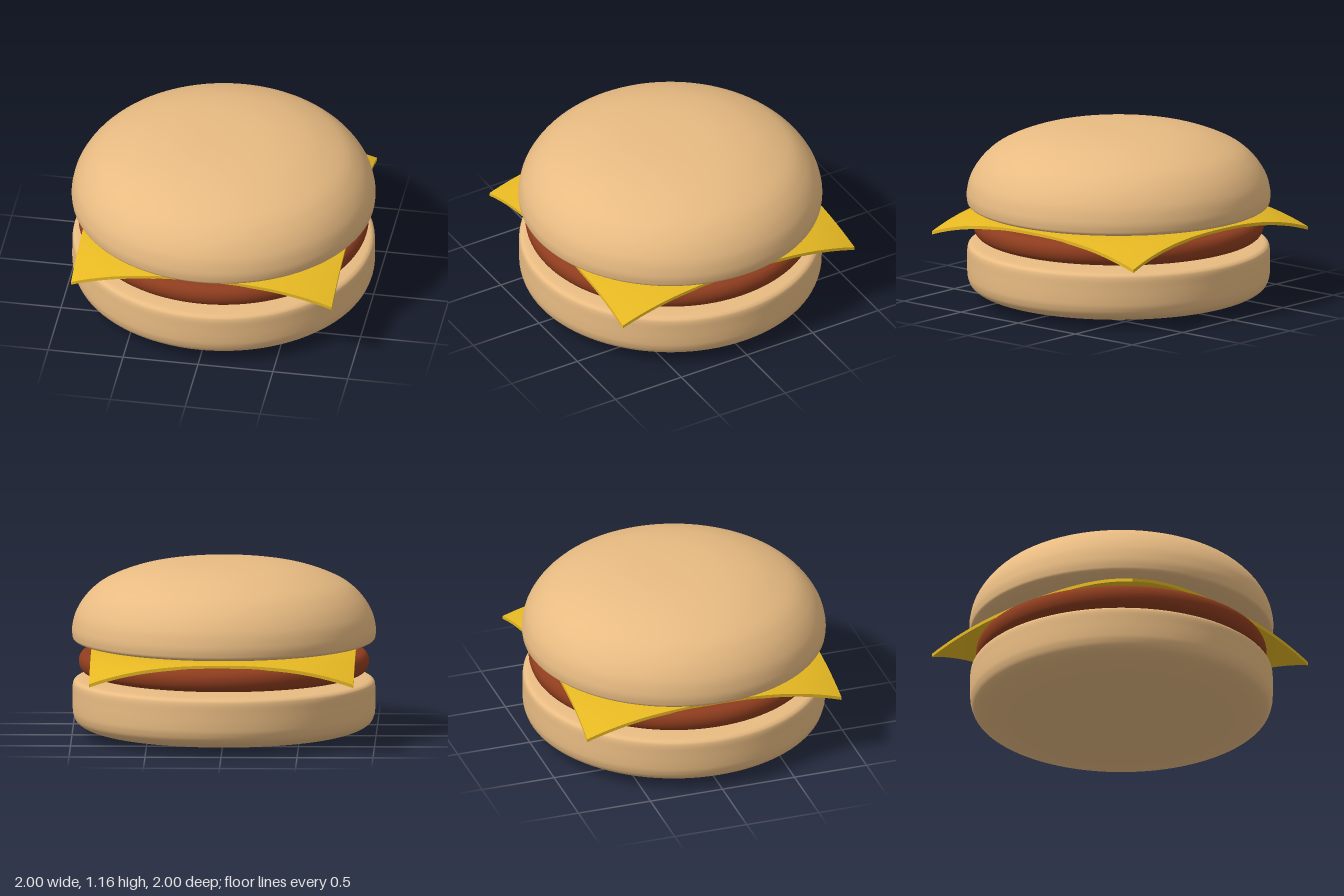
import * as THREE from 'three';

const bunColor = 0xe8bb82, pattyColor = 0x8f3d1e, cheeseColor = 0xe6b822;

// Smooth round part from a few [radius, height] points, bottom to top
function round(name, color, points) {
  const curve = new THREE.SplineCurve(points.map(([r, y]) => new THREE.Vector2(r, y)));
  const profile = curve.getPoints(points.length * 6);
  profile.forEach(p => { p.x = Math.max(p.x, 0); });
  const mesh = new THREE.Mesh(
    new THREE.LatheGeometry(profile, 96),
    new THREE.MeshStandardMaterial({ color })
  );
  mesh.name = name;
  return mesh;
}

// Square slice whose corners sag beyond the patty's rim
function cheeseSlice() {
  const geometry = new THREE.BoxGeometry(1.74, 0.022, 1.74, 40, 1, 40);
  const pos = geometry.attributes.position;
  for (let i = 0; i < pos.count; i++) {
    const x = pos.getX(i), z = pos.getZ(i);
    const over = Math.max(0, Math.hypot(x, z) - 0.78) / 0.45;
    pos.setY(i, pos.getY(i) + 0.588 - 0.13 * over ** 1.7);
    // The back edge flares out slightly towards its corners
    if (z < 0) pos.setZ(i, z - 0.025 * (z / 0.87) ** 2 * (x / 0.87) ** 2);
  }
  geometry.computeVertexNormals();
  const mesh = new THREE.Mesh(geometry, new THREE.MeshStandardMaterial({ color: cheeseColor }));
  mesh.name = 'cheeseSlice';
  return mesh;
}

export function createModel() {
  const group = new THREE.Group();
  group.name = 'burger';
  group.add(
    round('bottomBun', bunColor, [
      [0, 0], [0.3, 0.003], [0.6, 0.018], [0.8, 0.036], [0.9, 0.058], [0.965, 0.095],
      [0.99, 0.145], [0.996, 0.2], [0.996, 0.28], [0.994, 0.345], [0.98, 0.372],
      [0.94, 0.383], [0.8, 0.39], [0.5, 0.396], [0, 0.4],
    ]),
    round('patty', pattyColor, [
      [0, 0.408], [0.5, 0.41], [0.8, 0.412], [0.885, 0.418], [0.935, 0.442], [0.955, 0.49],
      [0.945, 0.538], [0.905, 0.566], [0.8, 0.573], [0.5, 0.575], [0, 0.576],
    ]),
    cheeseSlice(),
    round('topBun', bunColor, [
      [0, 0.612], [0.5, 0.616], [0.8, 0.622], [0.93, 0.63], [0.985, 0.643], [0.998, 0.675],
      [0.997, 0.735], [0.97, 0.83], [0.9, 0.935], [0.79, 1.025], [0.6, 1.103],
      [0.4, 1.144], [0.2, 1.161], [0, 1.165],
    ])
  );
  return group;
}
